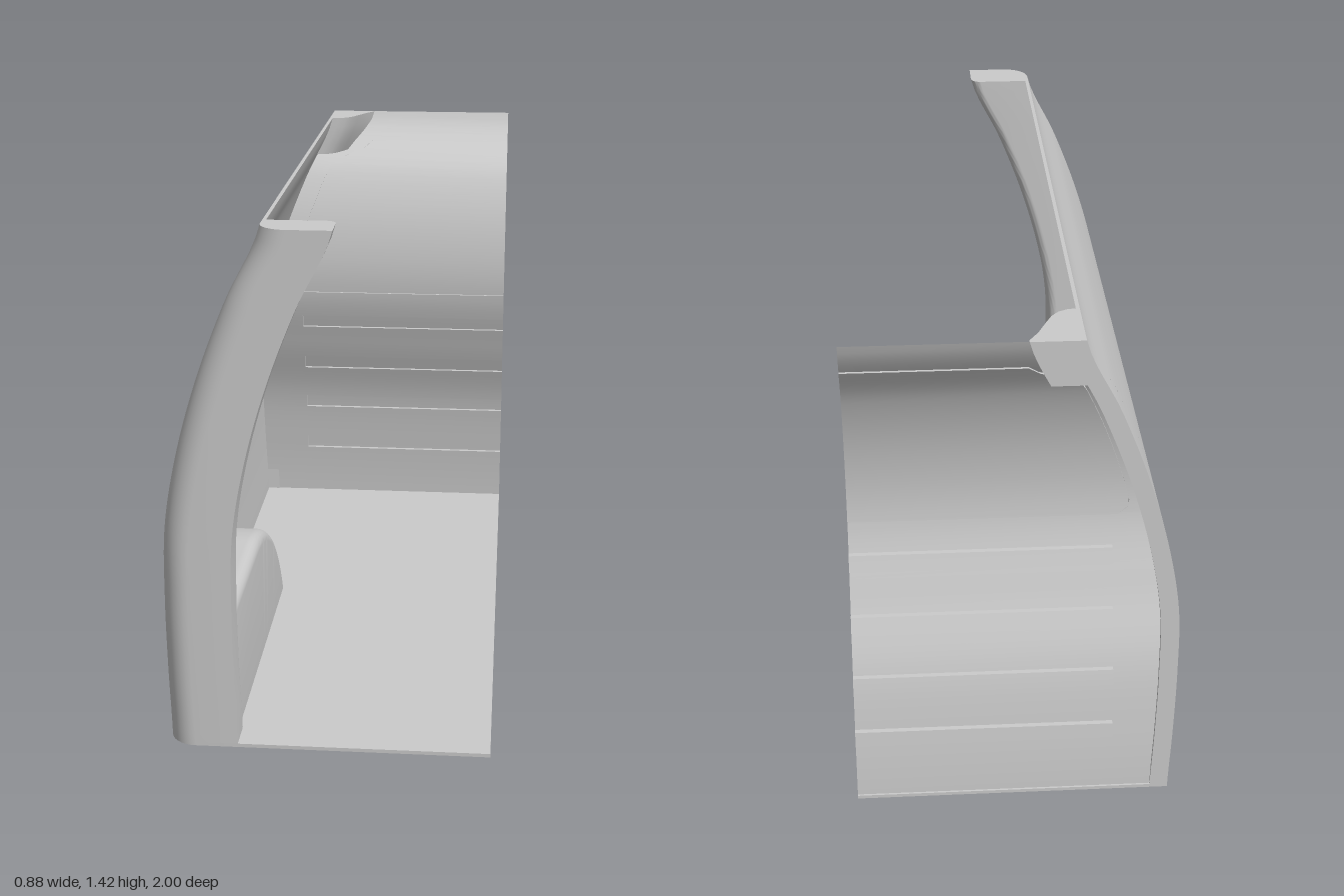
import * as THREE from 'three';
import { mergeGeometries, toCreasedNormals } from 'three/addons/utils/BufferGeometryUtils.js';

const H = 1.425, RIGHT = 0.44;
const material = new THREE.MeshStandardMaterial({ color: 0xcccccc, side: THREE.DoubleSide });

// Smooth function of height from evenly spaced values
function profile(values) {
  const curve = new THREE.SplineCurve(values.map((v, i) => new THREE.Vector2(v, i)));
  return (y) => curve.getPoint(y / H).x;
}
const wallX = profile([-0.43, -0.437, -0.44, -0.434, -0.398, -0.34, -0.262, -0.168]);
const backZ = profile([-0.995, -0.978, -0.945, -0.877, -0.823, -0.83, -0.888, -0.998]);

const steps = (a, b, n) => Array.from({ length: n + 1 }, (_, i) => a + ((b - a) * i) / n);

// Surface through rows of [x, y, z] points
function grid(rows) {
  const n = rows[0].length, index = [];
  for (let r = 0; r < rows.length - 1; r++) {
    for (let c = 0; c < n - 1; c++) {
      const a = r * n + c, b = a + n;
      index.push(a, b, a + 1, a + 1, b, b + 1);
    }
  }
  const g = new THREE.BufferGeometry();
  g.setAttribute('position', new THREE.Float32BufferAttribute(rows.flat(2), 3));
  g.setIndex(index);
  return g.toNonIndexed();
}

// Capped solid: a plan section [dx, z] that follows the lean of the side wall
function loft(section, y0, y1, n) {
  const at = (y) => section.map(([dx, z]) => [wallX(y) + dx, y, z]);
  const parts = [grid(steps(y0, y1, n).map((y) => { const r = at(y); return [...r, r[0]]; }))];
  const faces = THREE.ShapeUtils.triangulateShape(section.map(([x, z]) => new THREE.Vector2(x, z)), []);
  for (const y of [y0, y1]) {
    const ring = at(y), cap = new THREE.BufferGeometry();
    const order = faces.flatMap(([a, b, c]) => (y === y1 ? [a, c, b] : [a, b, c]));
    cap.setAttribute('position', new THREE.Float32BufferAttribute(order.flatMap((i) => ring[i]), 3));
    parts.push(cap);
  }
  return mergeGeometries(parts);
}

// Quarter-round plan corner
const corner = (cx, cz, r, a0, a1) =>
  steps(a0, a1, 8).map((a) => [cx + r * Math.cos(a), cz + r * Math.sin(a)]);

function wheelArch() {
  const r = 0.035, inner = -0.25;
  const curve = new THREE.CubicBezierCurve(
    new THREE.Vector2(0.5, 0.39), new THREE.Vector2(0.3, 0.39),
    new THREE.Vector2(0.05, 0.28), new THREE.Vector2(-0.1, 0));
  const outline = [{ z: 0.95, y: 0.39, nz: 0, ny: 1 }];
  for (const t of steps(0, 1, 28)) {
    const p = curve.getPoint(t), d = curve.getTangent(t);
    outline.push({ z: p.x, y: p.y, nz: d.y, ny: -d.x });
  }
  const rows = [outline.map((p) => [-0.435, p.y, p.z])];
  // rounded upper edge, then the flat side down to the floor
  for (const a of steps(0, Math.PI / 2, 6)) {
    const inset = r * (1 - Math.cos(a));
    rows.push(outline.map((p) =>
      [inner - r + r * Math.sin(a), Math.max(0, p.y - p.ny * inset), p.z - p.nz * inset]));
  }
  rows.push(rows[rows.length - 1].map(([x, , z]) => [x, 0, z]));
  return grid(rows);
}

// Left edge of the large upper recess, stepping around the corner block
function panelLeft(y) {
  const low = 0.04 * Math.max(0, 1 - (y - 0.81) / 0.04) ** 2;
  const edge = wallX(Math.min(y, 1.26)) + 0.075 + low;
  return THREE.MathUtils.lerp(edge, -0.03, THREE.MathUtils.smoothstep(y, 1.25, 1.33));
}

function backPanel() {
  const parts = [];
  const ribbon = (y0, y1, left, right, depth) => parts.push(grid(
    steps(y0, y1, Math.max(4, Math.ceil((y1 - y0) / 0.025))).map((y) =>
      [[left(y), y, backZ(y) - depth], [right(y), y, backZ(y) - depth]])));
  const end = () => RIGHT;
  const slot = (y0, y1) => ({ y0, y1, left: () => -0.27, depth: 0.014 });
  const recesses = [
    slot(0.18, 0.225), slot(0.345, 0.39), slot(0.507, 0.555), slot(0.675, 0.72),
    { y0: 0.81, y1: 1.33, left: panelLeft, depth: 0.008 },
  ];
  let from = 0;
  for (const { y0, y1, left, depth } of recesses) {
    ribbon(from, y0, wallX, end, 0);
    ribbon(y0, y1, wallX, left, 0);
    ribbon(y0, y1, left, end, depth);
    // ledges around the recess
    for (const y of [y0, y1]) {
      const s = y === y0 ? [0, depth] : [depth, 0];
      parts.push(grid(s.map((d) => [[left(y), y, backZ(y) - d], [RIGHT, y, backZ(y) - d]])));
    }
    parts.push(grid(steps(y0, y1, 24).map((y) =>
      [[left(y), y, backZ(y)], [left(y), y, backZ(y) - depth]])));
    from = y1;
  }
  ribbon(from, H, wallX, end, 0);
  return mergeGeometries(parts);
}

export function createModel() {
  const model = new THREE.Group();
  const add = (name, geometry) => {
    const mesh = new THREE.Mesh(toCreasedNormals(geometry, 0.5), material);
    mesh.name = name;
    model.add(mesh);
  };
  const outerCorner = corner(0.075, 0.925, 0.075, Math.PI, Math.PI / 2);

  add('floor', loft([[0, -1], ...outerCorner, [0.87, 1], [0.87, -1]], 0, 0.01, 1));
  add('sideWall', loft([[0, -1], [0, 0.9], [0.01, 0.9], [0.01, -1]], 0, H, 40));
  add('frontPillar', loft([
    [0, 0.88], ...outerCorner, [0.19, 1],
    ...corner(0.16, 0.91, 0.03, 0, -Math.PI / 2),
  ], 0, H, 40));
  add('rearFlange', loft([[0, -1], [0, -0.99], [0.05, -0.99], [0.05, -1]], 0, H, 40));
  add('cornerBlock', loft([
    [0.005, -1], [0.005, -0.823], [0.03, -0.826], [0.055, -0.838], [0.075, -0.862],
    [0.093, -0.9], [0.115, -0.95], [0.14, -0.99], [0.14, -1],
  ], 1.3, H, 4));
  add('wheelArch', wheelArch());
  add('backPanel', backPanel());
  return model;
}
